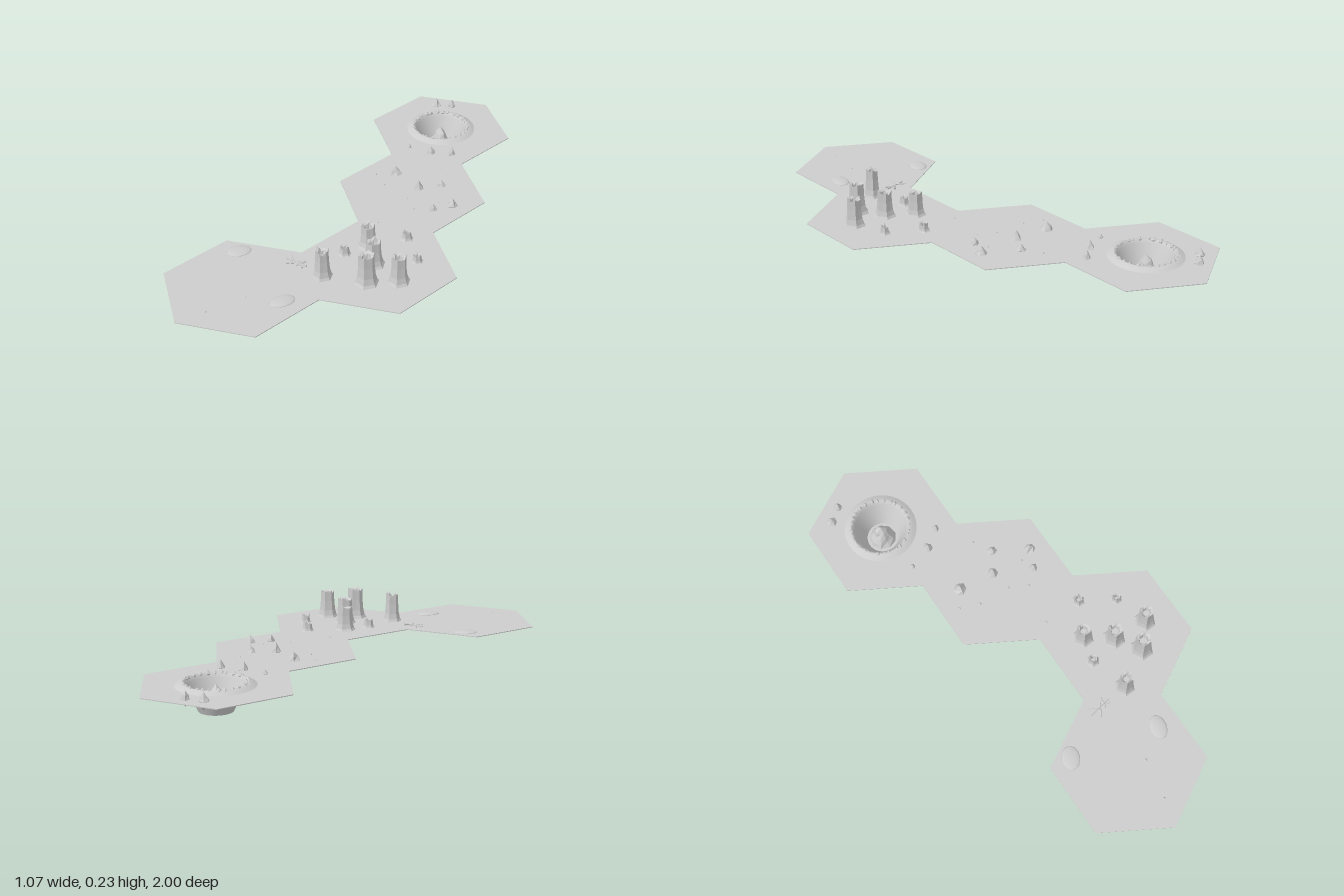
import * as THREE from 'three';

const GROUND = 0.097;
const R = 1 / 3.25; // hexagon tile radius

const stone = new THREE.MeshStandardMaterial({ color: 0xcccccc, flatShading: true });
stone.name = 'grey stone';
stone.side = THREE.DoubleSide;
const smoothStone = new THREE.MeshStandardMaterial({ color: 0xcccccc, side: THREE.DoubleSide });
smoothStone.name = 'smooth grey stone';

function seeded(seed) {
  let s = seed;
  return () => (s = (s * 16807) % 2147483647) / 2147483647;
}
const rand = seeded(4711);
const jitter = (a) => (rand() - 0.5) * 2 * a;

function add(parent, name, geometry, material, x, y, z) {
  const mesh = new THREE.Mesh(geometry, material);
  mesh.name = name;
  mesh.position.set(x, y, z);
  parent.add(mesh);
  return mesh;
}

// Surface of revolution whose points are moved by a rule; rings are [radius, y]
function ringed(rings, sides, rule) {
  const pos = [], index = [];
  rings.forEach(([r, y], i) => {
    for (let k = 0; k < sides; k++) {
      const [rr, yy] = rule(r, y, i, k);
      const a = (k / sides) * Math.PI * 2;
      pos.push(Math.sin(a) * rr, yy, Math.cos(a) * rr);
    }
  });
  for (let i = 0; i < rings.length - 1; i++) {
    for (let k = 0; k < sides; k++) {
      const n = (k + 1) % sides;
      const a = i * sides + k, b = i * sides + n, c = a + sides, d = b + sides;
      index.push(a, b, d, a, d, c);
    }
  }
  const g = new THREE.BufferGeometry();
  g.setAttribute('position', new THREE.Float32BufferAttribute(pos, 3));
  g.setIndex(index);
  g.computeVertexNormals();
  return g;
}

// Irregular double-ended rock crystal
function crystal(r, up, down) {
  return ringed([[0, -down], [r * 0.55, -down * 0.5], [r, 0], [r * 0.6, up * 0.45], [0, up]], 6,
    (rr, y, i) => [rr * (1 + jitter(0.2)), y + (i > 0 && i < 4 ? jitter(up * 0.12) : 0)]);
}

// Hexagonal column with flared foot and broken, hollow crown
function column(r, h) {
  const crown = Array.from({ length: 12 }, (_, k) => (k % 2 ? -0.006 : 0) + jitter(0.006));
  const s = r * 0.64;
  const rings = [[r, 0], [r * 0.85, h * 0.08], [r * 0.72, h * 0.26], [s, h * 0.6], [s * 0.97, h - 0.006],
    [s * 0.62, h - 0.012], [s * 0.5, h - 0.035], [0, h - 0.035]];
  return ringed(rings, 12, (rr, y, i, k) => [
    rr * (k % 2 ? 0.85 : 1),
    y + (i === 4 || i === 5 ? crown[k] : 0),
  ]);
}

function hexTile(cx, cz, hole) {
  const shape = new THREE.Shape();
  for (let k = 0; k < 6; k++) {
    const a = (k / 6) * Math.PI * 2;
    shape[k ? 'lineTo' : 'moveTo'](Math.sin(a) * R, Math.cos(a) * R);
  }
  shape.closePath();
  if (hole) {
    const path = new THREE.Path();
    path.absarc(hole[0] - cx, -(hole[1] - cz), hole[2], 0, Math.PI * 2, true);
    shape.holes.push(path);
  }
  const g = new THREE.ExtrudeGeometry(shape, { depth: 0.003, bevelEnabled: false, curveSegments: 24 });
  return g.rotateX(-Math.PI / 2);
}

export function createModel() {
  const model = new THREE.Group();
  model.name = 'hexTerrain';
  const apothem = R * Math.sqrt(3) / 2;
  const crater = [-0.272, -0.7];

  // Ground tiles
  [[-1, -2.25], [0, -0.75], [1, 0.75], [0, 2.25]].forEach(([u, v], i) => {
    const x = u * apothem, z = v * R;
    add(model, 'groundTile', hexTile(x, z, i === 0 ? [...crater, 0.11] : null), stone, x, GROUND - 0.003, z);
  });

  // Crater bowl with raised lip
  const craterGroup = new THREE.Group();
  craterGroup.name = 'crater';
  craterGroup.position.set(crater[0], 0, crater[1]);
  model.add(craterGroup);
  const wall = [[0.065, 0.001], [0.085, 0.045], [0.108, 0.094], [0.117, 0.11], [0.124, 0.111], [0.136, 0.105], [0.15, GROUND]];
  add(craterGroup, 'craterWall', new THREE.LatheGeometry(wall.map(([r, y]) => new THREE.Vector2(r, y)), 40), smoothStone, 0, 0, 0);
  add(craterGroup, 'craterFloor', new THREE.CircleGeometry(0.065, 40).rotateX(-Math.PI / 2), stone, 0, 0.001, 0);
  // Central peak
  add(craterGroup, 'centralPeak', ringed([[0.056, 0.001], [0.045, 0.022], [0.032, 0.05], [0.022, 0.075], [0, 0.1]], 9,
    (r, y, i) => [r * (1 + (i ? jitter(0.15) : 0)), y + (i && i < 4 ? jitter(0.006) : 0)]), stone, 0, 0, 0);
  // Stones set into the lip
  for (let k = 0; k < 28; k++) {
    const a = (k / 28) * Math.PI * 2 + jitter(0.06);
    const s = 0.007 + rand() * 0.004;
    add(craterGroup, 'rimStone', crystal(s, s + 0.002, 0.022), stone,
      Math.sin(a) * 0.12, 0.108, Math.cos(a) * 0.12);
  }

  // Rock crystals: x, z, radius, height above, depth below
  [
    [-0.425, -0.836, 0.022, 0.034, 0.034], [-0.37, -0.878, 0.02, 0.033, 0.026],
    [-0.085, -0.57, 0.016, 0.034, 0.022], [-0.158, -0.513, 0.022, 0.034, 0.032],
    [-0.254, -0.48, 0.011, 0.018, 0.012], [-0.148, -0.286, 0.026, 0.034, 0.028],
    [0.053, -0.354, 0.02, 0.028, 0.028], [0.002, -0.27, 0.021, 0.04, 0.036],
    [0.188, -0.275, 0.022, 0.034, 0.036], [0.153, -0.196, 0.017, 0.028, 0.02],
  ].forEach(([x, z, r, up, down]) => add(model, 'rockCrystal', crystal(r, up, down), stone, x, GROUND, z));

  // Pebbles
  [
    [-0.196, -0.217], [-0.116, -0.185], [0.02, -0.18], [0.095, -0.143], [0.132, -0.249],
    [0.01, -0.43], [0.063, 0.03], [0.06, 0.72], [0.03, 0.884],
  ].forEach(([x, z]) => add(model, 'pebble', crystal(0.006, 0.006, 0.002), stone, x, GROUND, z));

  // Stone columns: x, z, foot radius, height
  [
    [0.148, 0.168, 0.045, 0.104], [0.25, 0.24, 0.048, 0.114], [0.395, 0.25, 0.046, 0.122],
    [0.314, 0.34, 0.05, 0.133], [0.168, 0.43, 0.042, 0.125],
    [0.124, 0.272, 0.028, 0.042], [0.222, 0.028, 0.028, 0.042], [0.355, 0.108, 0.025, 0.04],
  ].forEach(([x, z, r, h]) => {
    add(model, 'stoneColumn', column(r, h), stone, x, GROUND, z).rotation.y = Math.PI / 6 + jitter(0.08);
  });

  // Low smooth mounds
  [[-0.177, 0.55, 0.036, 0.049, -0.45], [0.179, 0.64, 0.034, 0.05, -0.25]].forEach(([x, z, a, b, turn]) => {
    const g = new THREE.SphereGeometry(1, 28, 8, 0, Math.PI * 2, 0, Math.PI / 2).scale(a, 0.008, b);
    add(model, 'lowMound', g, smoothStone, x, GROUND, z).rotation.y = turn;
  });

  // Fallen branch: x, z, length, heading
  const branch = new THREE.Group();
  branch.name = 'fallenBranch';
  branch.position.set(0.036, GROUND + 0.004, 0.445);
  model.add(branch);
  [
    [0, 0, 0.1, 0.2], [-0.028, -0.008, 0.04, -0.6], [-0.005, 0.01, 0.06, 1.0],
    [0.02, -0.008, 0.045, 1.45], [0.03, 0.004, 0.03, -0.3],
  ].forEach(([x, z, len, turn]) => {
    const g = new THREE.CylinderGeometry(0.0025, 0.004, len, 5).rotateZ(Math.PI / 2);
    add(branch, 'twig', g, stone, x, 0, z).rotation.y = turn;
  });

  return model;
}
